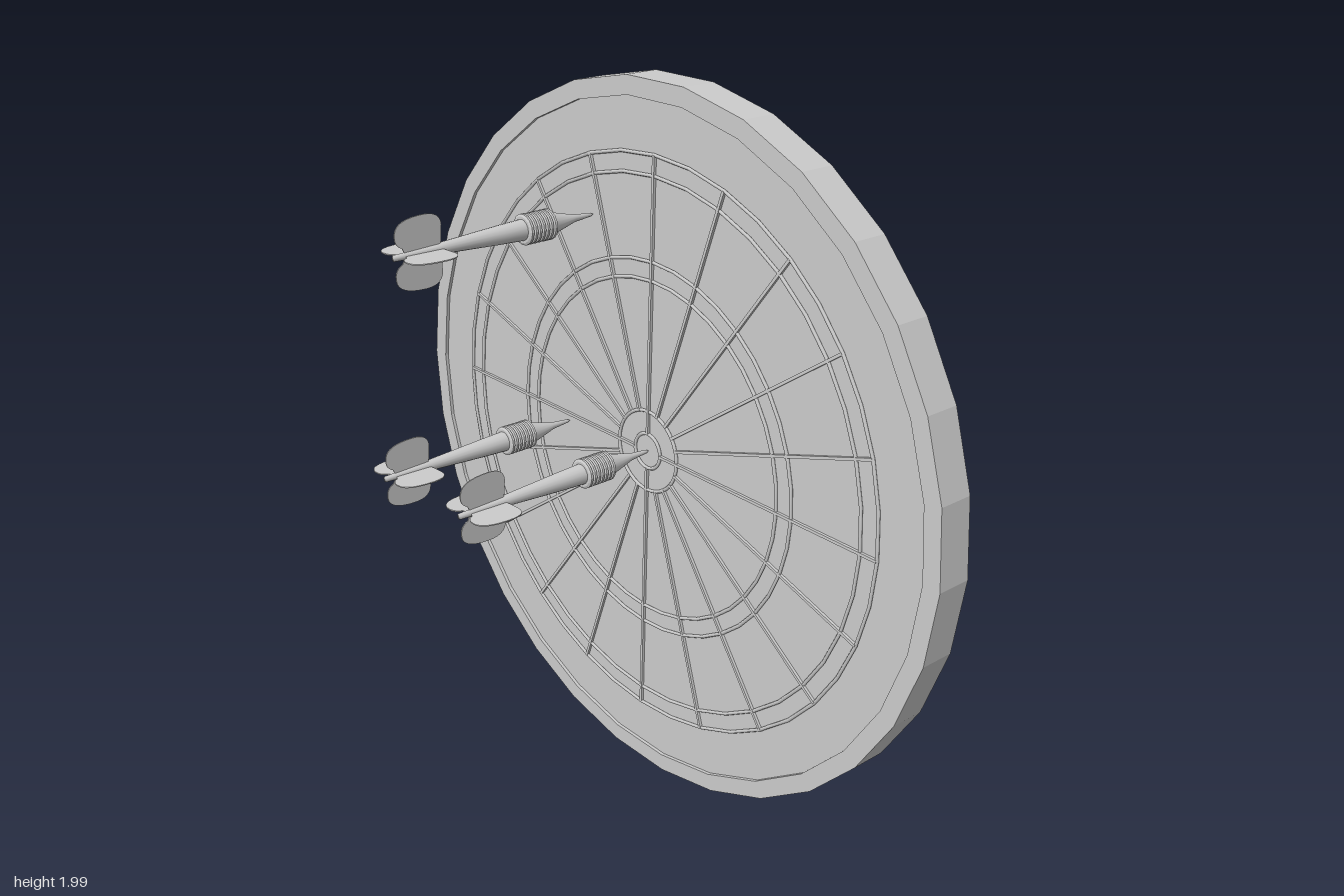
import * as THREE from 'three';

const grey = new THREE.MeshStandardMaterial({ color: 0xcccccc, side: THREE.DoubleSide });
const flat = new THREE.MeshStandardMaterial({ color: 0xcccccc, flatShading: true });

const CENTER_Y = 0.995;
const BACK = -0.36, FRONT = -0.26, FACE = -0.27;

function add(parent, name, geometry, material = grey) {
  const mesh = new THREE.Mesh(geometry, material);
  mesh.name = name;
  parent.add(mesh);
  return mesh;
}

function polygonPoints(radius, sides) {
  return Array.from({ length: sides }, (_, i) => {
    const a = (i / sides) * Math.PI * 2;
    return new THREE.Vector2(Math.cos(a) * radius, Math.sin(a) * radius);
  });
}

// Revolves [radius, z] pairs around the z axis
function turned(profile, sides) {
  const points = profile.map(([r, z]) => new THREE.Vector2(r, z));
  return new THREE.LatheGeometry(points, sides).rotateX(Math.PI / 2);
}

function createBoard() {
  const board = new THREE.Group();
  board.name = 'board';

  // Solid disc with a shallow raised rim around the playing face
  const core = new THREE.ExtrudeGeometry(new THREE.Shape(polygonPoints(1, 30)),
    { depth: FACE - BACK, bevelEnabled: false });
  add(board, 'backing', core, flat).position.z = BACK;
  const rimShape = new THREE.Shape(polygonPoints(1, 30));
  rimShape.holes.push(new THREE.Path(polygonPoints(0.95, 30).reverse()));
  const rim = new THREE.ExtrudeGeometry(rimShape, { depth: FRONT - FACE, bevelEnabled: false });
  add(board, 'rim', rim, flat).position.z = FACE;

  // Ring wires
  for (const radius of [0.81, 0.757, 0.533, 0.482, 0.116, 0.05]) {
    add(board, 'ringWire', new THREE.TorusGeometry(radius, 0.005, 6, 40)).position.z = FACE + 0.003;
  }

  // Spoke wires; the four main ones reach the inner ring
  for (let i = 0; i < 20; i++) {
    const inner = i % 5 === 0 ? 0.05 : 0.116;
    const length = 0.81 - inner;
    const spoke = new THREE.BoxGeometry(length, 0.008, 0.01);
    spoke.translate(inner + length / 2, 0, FACE + 0.003);
    add(board, 'spokeWire', spoke).rotation.z = (i / 20) * Math.PI * 2;
  }
  return board;
}

function createDart(x, y) {
  const dart = new THREE.Group();
  dart.name = 'dart';

  add(dart, 'point', turned([[0, -0.272], [0.005, -0.26], [0.01, -0.205], [0.032, -0.12]], 16));

  // Grip with stacked ridges
  const grip = [[0, -0.122]];
  const ridges = 7, pitch = 0.09 / ridges;
  for (let i = 0; i < ridges; i++) {
    const z = -0.122 + i * pitch;
    grip.push([0.035, z], [0.041, z + pitch * 0.25], [0.041, z + pitch * 0.75], [0.035, z + pitch]);
  }
  grip.push([0, -0.032]);
  add(dart, 'grip', turned(grip, 16), flat);

  add(dart, 'shaft', turned([[0.028, -0.032], [0.025, 0.04], [0.015, 0.22], [0.013, 0.225], [0.008, 0.36], [0, 0.36]], 16));

  // Four rounded flights; shape x is outward, shape y runs along the dart
  const outline = new THREE.Shape();
  outline.moveTo(0, 0.225);
  outline.lineTo(0.025, 0.22);
  outline.lineTo(0.06, 0.218);
  outline.quadraticCurveTo(0.095, 0.22, 0.095, 0.27);
  outline.quadraticCurveTo(0.095, 0.35, 0.06, 0.355);
  outline.quadraticCurveTo(0.03, 0.36, 0.02, 0.335);
  outline.lineTo(0, 0.325);
  const flight = new THREE.ExtrudeGeometry(outline, { depth: 0.003, bevelEnabled: false, curveSegments: 8 });
  flight.translate(0, 0, -0.0015).rotateX(Math.PI / 2);
  for (let i = 0; i < 4; i++) add(dart, 'flight', flight).rotation.z = (i * Math.PI) / 2;

  dart.position.set(x, y, 0);
  return dart;
}

export function createModel() {
  const model = new THREE.Group();
  model.name = 'dartboard';
  const board = createBoard();
  board.position.y = CENTER_Y;
  model.add(board);
  for (const [x, y] of [[0, CENTER_Y], [-0.242, 1.602], [-0.34, 0.972]]) model.add(createDart(x, y));
  return model;
}
